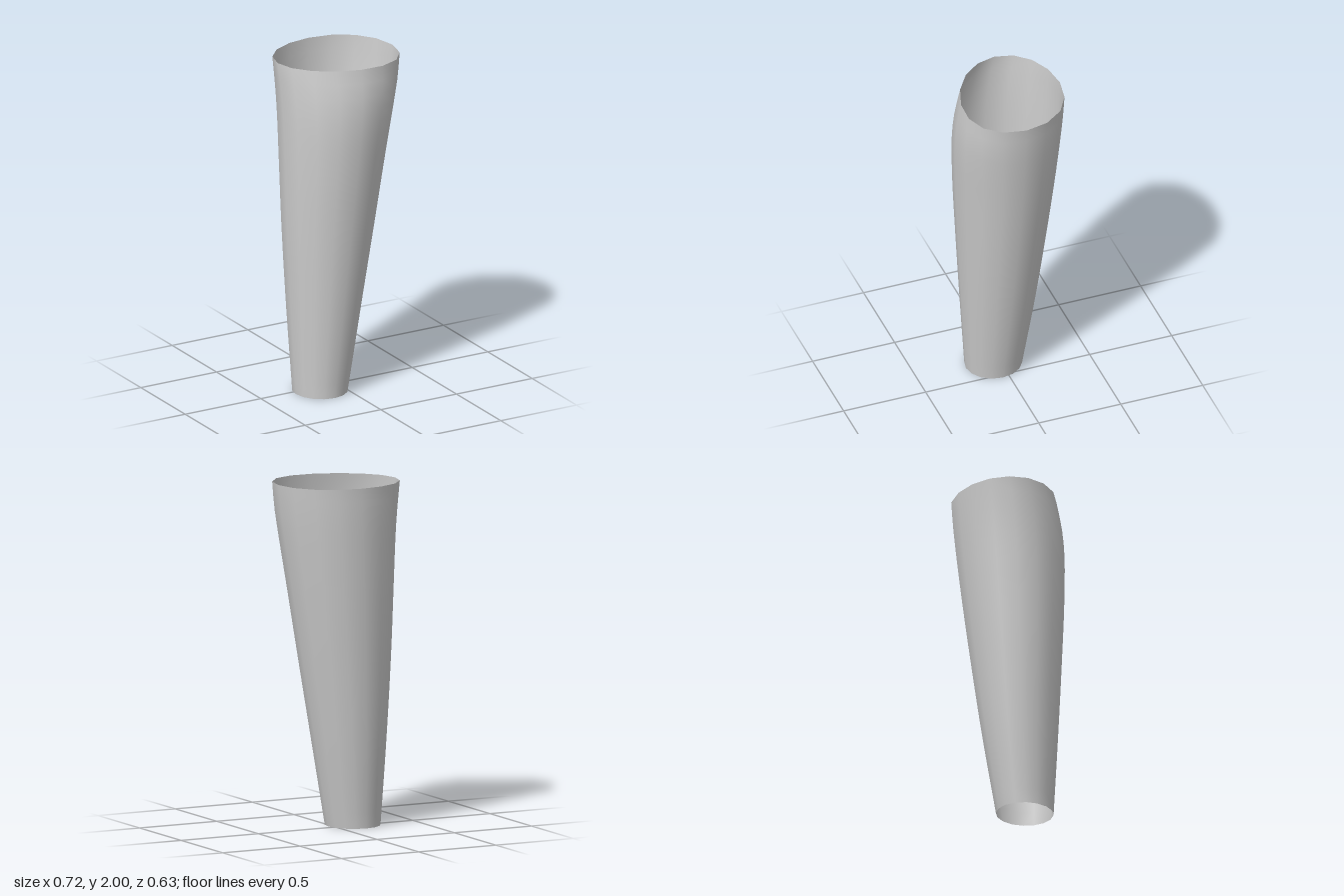
import * as THREE from 'three';

const SIDES = 16;
const RINGS = 24;

// Height, then the tube's left, right, front and back limits, and how far the hem skews
const SECTIONS = [
  [0.0, -0.29, 0.027, 0.205, -0.128, 0],
  [0.5, -0.315, 0.117, 0.243, -0.193, 0],
  [1.0, -0.336, 0.206, 0.278, -0.245, 0],
  [1.4, -0.346, 0.274, 0.304, -0.281, 0.04],
  [1.7, -0.351, 0.322, 0.316, -0.303, 0.3],
  [1.85, -0.354, 0.343, 0.309, -0.312, 0.62],
  [2.0, -0.358, 0.358, 0.284, -0.318, 1],
];

// Open tube lofted smoothly through the cross-sections
function loftTube() {
  const profile = new THREE.CubicInterpolant(
    SECTIONS.map((s) => s[0]), SECTIONS.flatMap((s) => s.slice(1)), 5, new Float32Array(5));
  const positions = [];
  const indices = [];

  for (let j = 0; j <= RINGS; j++) {
    const y = (2 * j) / RINGS;
    const [x0, x1, front, back, skew] = profile.evaluate(y);
    for (let i = 0; i < SIDES; i++) {
      const a = (i / SIDES) * Math.PI * 2;
      const c = Math.cos(a);
      // Towards the top the section tilts and grows fuller on the +x side
      const depth = ((front - back) / 2) * (1 + skew * (0.107 * c + 0.053 * c * c));
      positions.push(
        (x0 + x1) / 2 + ((x1 - x0) / 2) * c,
        y,
        (front + back) / 2 + 0.036 * skew * c - depth * Math.sin(a));

      if (j < RINGS) {
        const p = j * SIDES + i;
        const q = j * SIDES + ((i + 1) % SIDES);
        indices.push(p, q, p + SIDES, q, q + SIDES, p + SIDES);
      }
    }
  }

  const geometry = new THREE.BufferGeometry();
  geometry.setAttribute('position', new THREE.Float32BufferAttribute(positions, 3));
  geometry.setIndex(indices);
  geometry.computeVertexNormals();
  return geometry;
}

export function createModel() {
  const model = new THREE.Group();
  model.name = 'taperedSleeve';

  const material = new THREE.MeshStandardMaterial({ color: 0xcccccc, side: THREE.DoubleSide });
  const sleeve = new THREE.Mesh(loftTube(), material);
  sleeve.name = 'sleeve';
  model.add(sleeve);

  return model;
}
